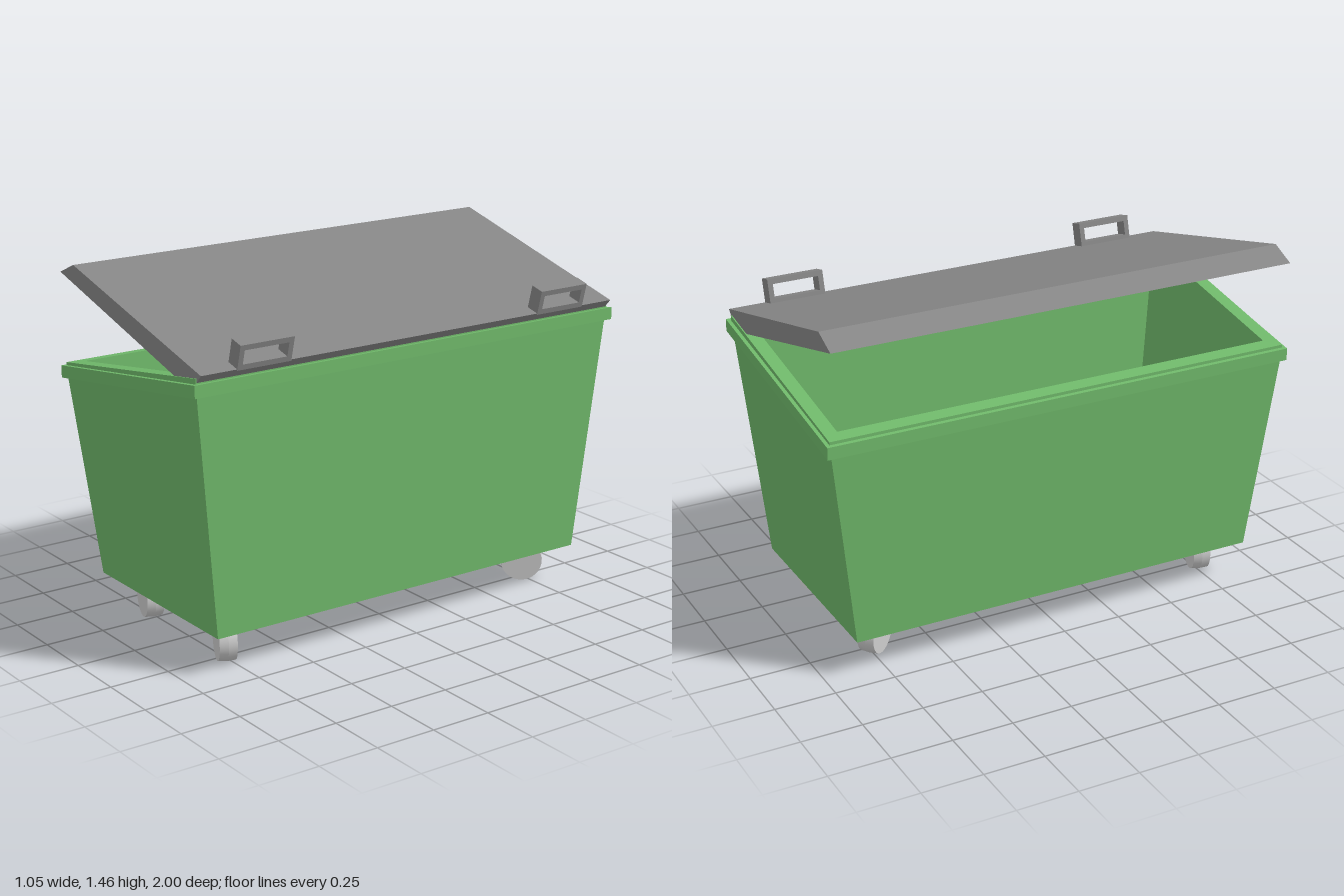
import * as THREE from 'three';

const green = new THREE.MeshStandardMaterial({ color: 0x6fb86a, flatShading: true });
const dark = new THREE.MeshStandardMaterial({ color: 0x868686, flatShading: true });
const grey = new THREE.MeshStandardMaterial({ color: 0xcccccc });

function part(name, geometry, material) {
  const mesh = new THREE.Mesh(geometry, material);
  mesh.name = name;
  return mesh;
}

// Rectangular section whose height slopes from the x0 side to the x1 side
const section = ([x0, x1, z, y0, y1]) => [
  [x0, y0, z], [x1, y1, z], [x1, y1, -z], [x0, y0, -z],
];

// Skin stacked sections, closing the first and the last
function loft(sections) {
  const loops = sections.map(section);
  const pos = [];
  const quad = (a, b, c, d) => pos.push(...a, ...b, ...c, ...a, ...c, ...d);
  for (let i = 0; i + 1 < loops.length; i++) {
    for (let k = 0; k < 4; k++) {
      const n = (k + 1) % 4;
      quad(loops[i][k], loops[i][n], loops[i + 1][n], loops[i + 1][k]);
    }
  }
  const [a, b, c, d] = loops[0];
  quad(d, c, b, a);
  quad(...loops[loops.length - 1]);
  const g = new THREE.BufferGeometry();
  g.setAttribute('position', new THREE.Float32BufferAttribute(pos, 3));
  g.computeVertexNormals();
  return g;
}

function makeHandle(z) {
  // Upright rectangular frame with a grip opening
  const rect = (path, w, y0, y1) => {
    path.moveTo(-w, y0);
    path.lineTo(w, y0);
    path.lineTo(w, y1);
    path.lineTo(-w, y1);
    path.closePath();
    return path;
  };
  const shape = rect(new THREE.Shape(), 0.118, 0, 0.102);
  shape.holes.push(rect(new THREE.Path(), 0.097, 0.022, 0.08));
  const g = new THREE.ExtrudeGeometry(shape, { depth: 0.06, bevelEnabled: false });
  g.translate(0, 0, -0.03).rotateY(Math.PI / 2);
  const handle = part('lidHandle', g, dark);
  handle.position.set(0.467, 1.222, z);
  handle.rotation.z = -0.255;
  return handle;
}

function makeWheel(x, z, turn) {
  // Short disc with a slightly crowned tread, axis along z before turning
  const R = 0.089, r = 0.086, h = 0.035;
  const wheel = new THREE.Group();
  wheel.name = 'casterWheel';
  for (const s of [1, -1]) {
    const g = new THREE.CylinderGeometry(s > 0 ? r : R, s > 0 ? R : r, h, 32, 1, false);
    g.translate(0, s * h / 2, 0).rotateX(Math.PI / 2);
    wheel.add(part('wheelHalf', g, grey));
  }
  wheel.position.set(x, R, z);
  wheel.rotation.y = turn;
  return wheel;
}

export function createModel() {
  const model = new THREE.Group();
  model.name = 'wheeledBin';

  // Tapered hollow body with a sloping stepped rim: [x0, x1, z, y at x0, y at x1]
  model.add(part('binBody', loft([
    [-0.445, 0.42, 0.88, 0.16, 0.16],
    [-0.495, 0.465, 0.98, 0.99, 1.135],
    [-0.51, 0.485, 1, 0.988, 1.135],
    [-0.51, 0.485, 1, 1.038, 1.185],
    [-0.495, 0.467, 0.985, 1.04, 1.183],
    [-0.495, 0.467, 0.985, 1.052, 1.204],
    [-0.44, 0.415, 0.93, 1.06, 1.196],
    [-0.40, 0.375, 0.84, 0.2, 0.2],
  ]), green));

  // Half-open lid with a sloped front edge
  const profile = new THREE.Shape([
    [-0.525, 1.41], [0.43, 1.148], [0.497, 1.22], [-0.42, 1.456],
  ].map(([x, y]) => new THREE.Vector2(x, y)));
  const lid = new THREE.ExtrudeGeometry(profile, { depth: 1.96, bevelEnabled: false });
  lid.translate(0, 0, -0.98);
  model.add(part('lid', lid, dark));

  for (const s of [1, -1]) model.add(makeHandle(s * 0.708));

  // Casters, each swivelled its own way
  const casters = [[0.279, 0.76, -0.4], [-0.278, 0.76, -0.28], [0.27, -0.733, 0.93], [-0.278, -0.733, -0.87]];
  for (const c of casters) model.add(makeWheel(...c));

  return model;
}
